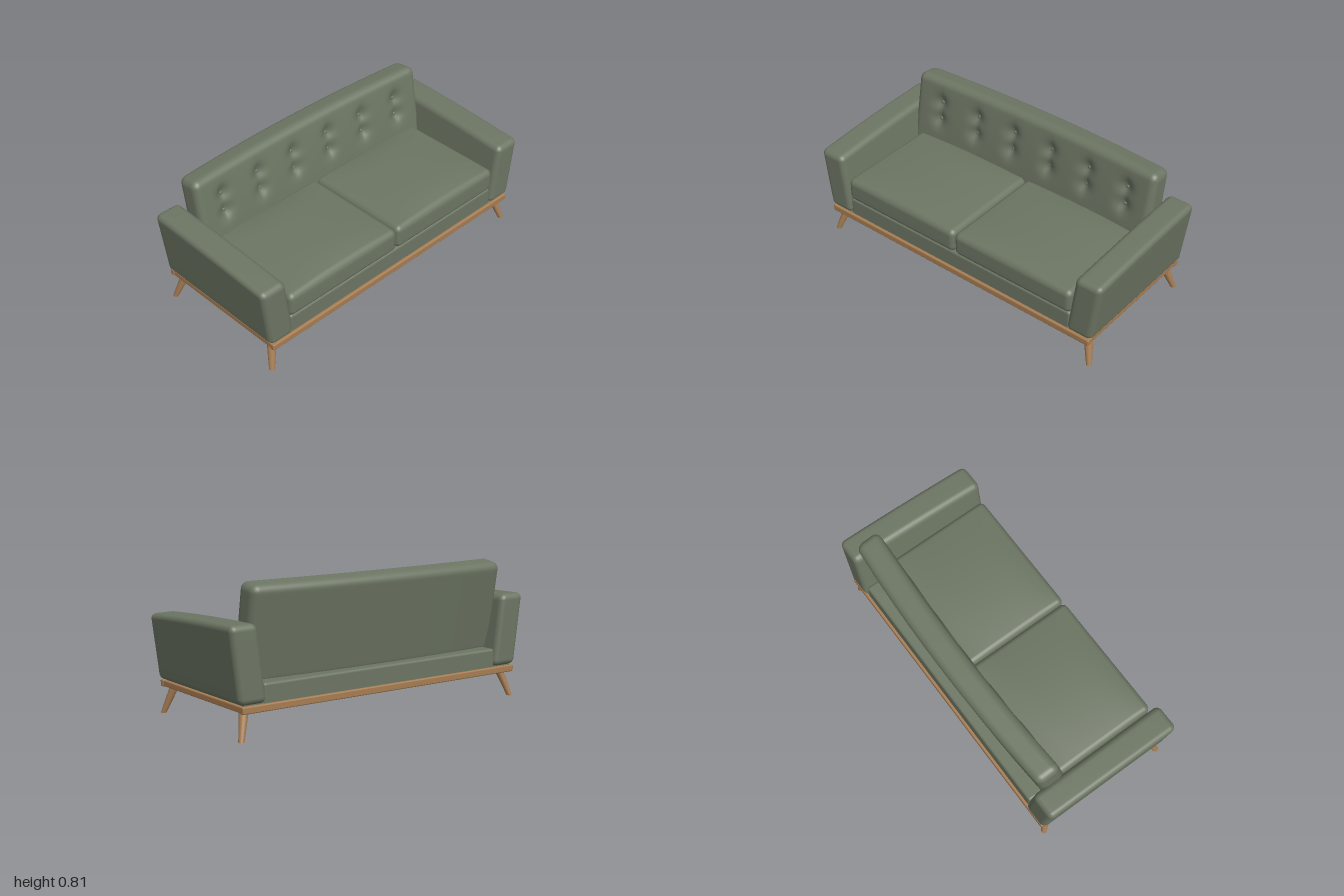
import * as THREE from 'three';
import { mergeVertices } from 'three/addons/utils/BufferGeometryUtils.js';

const fabric = new THREE.MeshStandardMaterial({ color: 0x6c7563 });
fabric.name = 'sage fabric';
const wood = new THREE.MeshStandardMaterial({ color: 0xa67c52 });
wood.name = 'warm wood';

// Rounded box with a subdivided surface; deform(v) bends each vertex afterwards.
function softBox(size, r, cells, deform) {
  const k = 4; // segments across each half corner
  const n = cells.map((c) => c + 2 * k);
  const geo = new THREE.BoxGeometry(1, 1, 1, ...n);
  geo.deleteAttribute('uv');
  geo.deleteAttribute('normal');
  const place = (t, axis) => {
    const i = Math.round((t + 0.5) * n[axis]);
    const inner = size[axis] / 2 - r;
    if (i < k) return -inner - r * Math.tan(((k - i) / k) * Math.PI / 4);
    if (i > n[axis] - k) return inner + r * Math.tan(((i - n[axis] + k) / k) * Math.PI / 4);
    return -inner + (2 * inner * (i - k)) / cells[axis];
  };
  const pos = geo.attributes.position;
  const v = new THREE.Vector3();
  const core = new THREE.Vector3();
  const half = new THREE.Vector3(...size).multiplyScalar(0.5).subScalar(r);
  const low = half.clone().negate();
  for (let i = 0; i < pos.count; i++) {
    v.set(place(pos.getX(i), 0), place(pos.getY(i), 1), place(pos.getZ(i), 2));
    core.copy(v).clamp(low, half);
    v.sub(core).setLength(r).add(core);
    if (deform) deform(v);
    pos.setXYZ(i, v.x, v.y, v.z);
  }
  const merged = mergeVertices(geo, 1e-5);
  merged.computeVertexNormals();
  return merged;
}

function add(parent, name, geometry, material, x = 0, y = 0, z = 0) {
  const mesh = new THREE.Mesh(geometry, material);
  mesh.name = name;
  mesh.position.set(x, y, z);
  parent.add(mesh);
  return mesh;
}

export function createModel() {
  const sofa = new THREE.Group();
  sofa.name = 'sofa';

  // Upholstered base and the recessed panel beneath it
  add(sofa, 'seatBase', softBox([1.6, 0.12, 0.84], 0.015, [1, 1, 1]), fabric, 0, 0.235, 0);
  add(sofa, 'bottomPanel', new THREE.BoxGeometry(1.84, 0.025, 0.84), fabric, 0, 0.178, 0);

  // Arms: leaning outward, top rising gently toward the back
  for (const s of [1, -1]) {
    const arm = softBox([0.165, 0.4, 0.875], 0.034, [4, 6, 16], (v) => {
      const top = 0.597 - 0.0525 * v.z - 0.0375 * v.z * v.z;
      const t = (v.y + 0.2) / 0.4;
      v.y = 0.19 + t * (top - 0.19);
      v.x += s * (0.87 + 0.13 * (v.y - 0.19));
    });
    add(sofa, s > 0 ? 'leftArm' : 'rightArm', arm, fabric);
  }

  // Seat cushions with softly domed tops
  for (const s of [1, -1]) {
    const cushion = softBox([0.803, 0.145, 0.67], 0.034, [16, 2, 14], (v) => {
      const u = v.x / 0.402, w = v.z / 0.335;
      if (v.y > 0) v.y += 0.026 * (v.y / 0.0725) * (1 - u * u) * (1 - w ** 4);
    });
    add(sofa, s > 0 ? 'leftCushion' : 'rightCushion', cushion, fabric, s * 0.403, 0.362, 0.093);
  }

  // Backrest: tilted, bowed toward the rear, with two rows of tufts
  const tufts = [];
  for (const y of [0.66, 0.555]) for (const x of [-0.67, -0.4, -0.135, 0.135, 0.4, 0.67]) tufts.push([x, y]);
  const depth = 0.147, midY = 0.54;
  const tuft = (x, y) => {
    let d = 0;
    for (const [tx, ty] of tufts) {
      const dx = x - tx, dy = y - ty;
      d += 0.026 * Math.exp(-(dx * dx + dy * dy) / 0.0022);
      d += 0.008 * Math.exp(-(dx * dx) / 0.0003 - (dy * dy) / 0.003);
    }
    return d;
  };
  const bend = (v) => {
    const y = v.y + midY;
    const bow = 0.036 * (1 - (v.x / 0.85) ** 2);
    v.y = y + 0.15 * v.z;
    v.z += -0.303 - 0.17 * (y - 0.61) - bow;
    return v;
  };
  const back = softBox([1.7, 0.535, depth], 0.042, [110, 36, 3], (v) => {
    if (v.z > 0) {
      const u = v.x / 0.85, w = v.y / 0.27;
      const puff = 0.014 * (1 - u ** 4) * (1 - w * w);
      v.z += (v.z / (depth / 2)) * (puff - tuft(v.x, v.y + midY));
    }
    bend(v);
  });
  add(sofa, 'backrest', back, fabric);

  // Tuft buttons
  const buttonGeo = new THREE.SphereGeometry(0.011, 14, 10).scale(1, 1, 0.6);
  for (const [x, y] of tufts) {
    const p = bend(new THREE.Vector3(x, y - midY, depth / 2 + 0.012 - tuft(x, y)));
    add(sofa, 'button', buttonGeo, fabric, p.x, p.y, p.z);
  }

  // Wooden frame rails
  const longRail = softBox([1.88, 0.04, 0.03], 0.007, [1, 1, 1]);
  const sideRail = softBox([0.03, 0.036, 0.82], 0.007, [1, 1, 1]);
  for (const s of [1, -1]) {
    add(sofa, s > 0 ? 'frontRail' : 'backRail', longRail, wood, 0, 0.168, s * 0.421);
    add(sofa, s > 0 ? 'leftRail' : 'rightRail', sideRail, wood, s * 0.921, 0.168, 0);
  }

  // Splayed tapered legs with level feet
  for (const sx of [1, -1]) {
    for (const sz of [1, -1]) {
      const leg = new THREE.CylinderGeometry(0.028, 0.016, 0.168, 24);
      leg.translate(0, 0.084, 0);
      leg.applyMatrix4(new THREE.Matrix4().set(
        1, -sx * 0.3, 0, sx * 0.936,
        0, 1, 0, 0,
        0, -sz * 0.31, 1, sz * 0.41,
        0, 0, 0, 1));
      add(sofa, (sz > 0 ? 'front' : 'back') + (sx > 0 ? 'Left' : 'Right') + 'Leg', leg, wood);
    }
  }
  return sofa;
}
